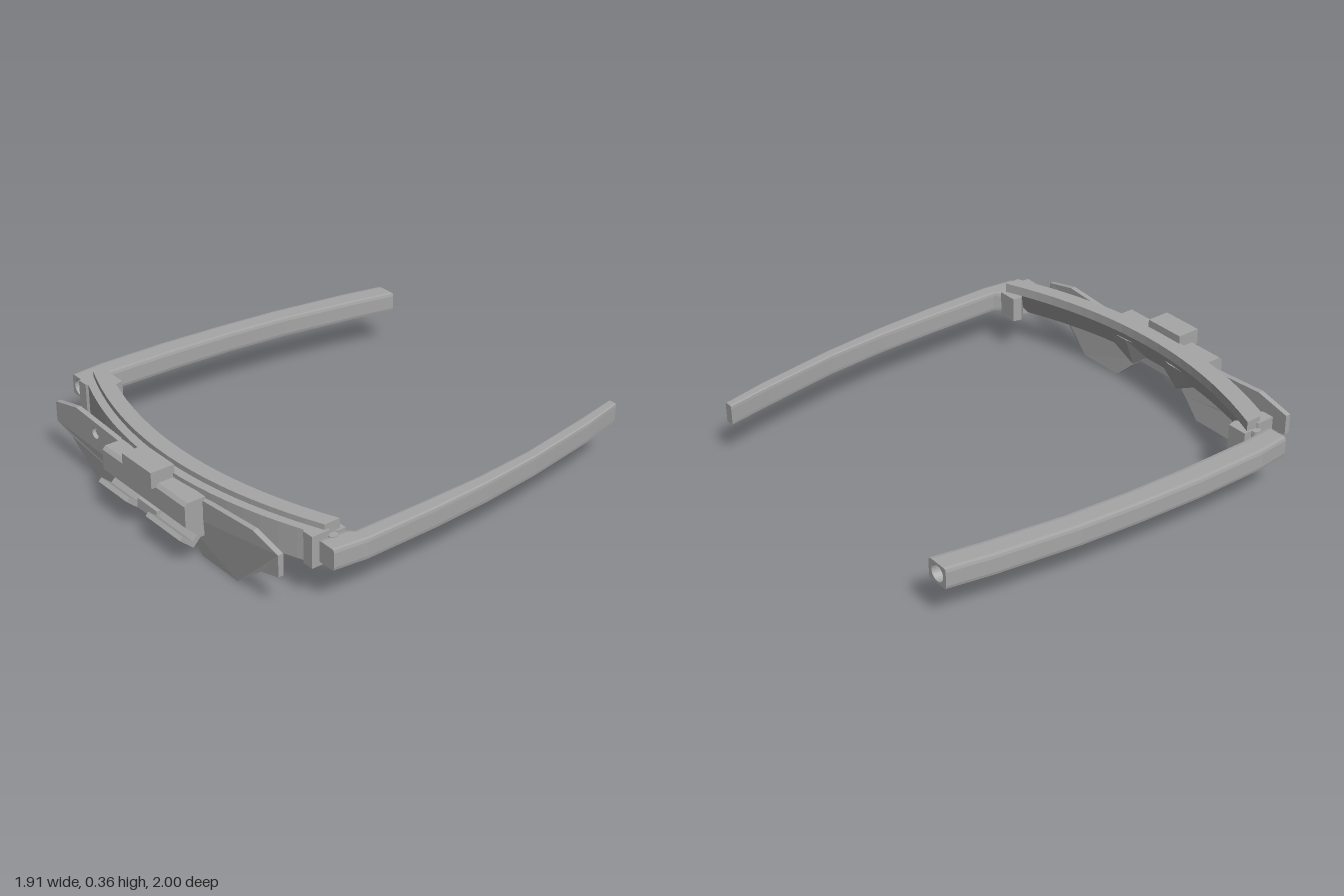
import * as THREE from 'three';

const grey = new THREE.MeshStandardMaterial({ color: 0xa6a6a6 });
grey.name = 'grey plastic';
grey.flatShading = true;
const CX = 0.01; // middle of the front frame

// Skin a list of equal-length rings; ends are capped, or joined when closed
function loft(rings, closed = false) {
  const pos = [], n = rings[0].length;
  const tri = (a, b, c) => pos.push(...a, ...b, ...c);
  const last = closed ? rings.length : rings.length - 1;
  for (let i = 0; i < last; i++) {
    const A = rings[i], B = rings[(i + 1) % rings.length];
    for (let j = 0; j < n; j++) {
      const k = (j + 1) % n;
      tri(A[j], A[k], B[k]);
      tri(A[j], B[k], B[j]);
    }
  }
  // Orient the skin outward by its signed volume
  const cap = (ring, flip, ax) => {
    const pts = ring.map(p => new THREE.Vector2(p[ax], p[1]));
    for (const [a, b, c] of THREE.ShapeUtils.triangulateShape(pts, [])) {
      if (flip) tri(ring[a], ring[c], ring[b]);
      else tri(ring[a], ring[b], ring[c]);
    }
  };
  if (!closed) {
    const d = rings[1][0].map((v, i) => Math.abs(v - rings[0][0][i]));
    const ax = d[0] > d[2] ? 2 : 0;
    // triangulation keeps the ring's own winding
    cap(rings[0], true, ax);
    cap(rings[rings.length - 1], false, ax);
  }
  let vol = 0;
  const v = i => new THREE.Vector3(pos[i], pos[i + 1], pos[i + 2]);
  for (let i = 0; i < pos.length; i += 9) vol += v(i).dot(v(i + 3).cross(v(i + 6)));
  if (vol < 0) {
    for (let i = 0; i < pos.length; i += 9) {
      for (let k = 0; k < 3; k++) {
        [pos[i + 3 + k], pos[i + 6 + k]] = [pos[i + 6 + k], pos[i + 3 + k]];
      }
    }
  }
  const g = new THREE.BufferGeometry();
  g.setAttribute('position', new THREE.Float32BufferAttribute(pos, 3));
  g.computeVertexNormals();
  return g;
}

const toShape = pts => new THREE.Shape(pts.map(p => new THREE.Vector2(...p)));

// Side profile of [z, y] points, stretched from x0 to x1
function prismX(pts, x0, x1) {
  const g = new THREE.ExtrudeGeometry(toShape(pts), { depth: x1 - x0, bevelEnabled: false });
  return g.rotateY(-Math.PI / 2).translate(x1, 0, 0);
}

// Plan outline of [x, z] points, raised from y0 to y1
function prismY(pts, y0, y1) {
  const g = new THREE.ExtrudeGeometry(toShape(pts.map(([x, z]) => [x, -z])), { depth: y1 - y0, bevelEnabled: false });
  return g.rotateX(-Math.PI / 2).translate(0, y0, 0);
}

// Temple arm from stations [z, outer x, inner x]; bore adds a round channel
function temple(stations, bore) {
  const N = 24, y = 0.243, clamp = t => Math.max(-1, Math.min(1, t * 1.34));
  const ring = ([z, xo, xi], r) => Array.from({ length: N }, (_, i) => {
    const a = (i / N) * Math.PI * 2, c = Math.cos(a), s = Math.sin(a), x = (xo + xi) / 2;
    return r ? [x + r * c, y + r * s, z]
      : [x + clamp(c) * Math.abs(xo - xi) / 2, y + clamp(s) * 0.048, z];
  });
  const outer = stations.map(s => ring(s));
  if (!bore) return loft(outer);
  return loft([...outer, ...stations.map(s => ring(s, bore)).reverse()], true);
}

export function createModel() {
  const model = new THREE.Group();
  const add = (name, geo) => {
    const m = new THREE.Mesh(geo, grey);
    m.name = name;
    model.add(m);
    return m;
  };

  // Curved brow bar: stepped top, inner face leaning forward to the lower edge
  const section = [[0, 0.32], [0.04, 0.32], [0.04, 0.345], [0.115, 0.345], [0.115, 0.3], [0.045, 0.18], [0, 0.18]];
  const rings = [];
  for (let i = 0; i <= 20; i++) {
    const u = -0.825 + (1.65 * i) / 20;
    rings.push(section.map(([t, y]) => [u + CX, y, 0.885 - 0.25 * u * u - t]));
  }
  add('browBar', loft(rings));

  // Faceted shield plate with a small screw hole
  const shield = toShape([
    [-0.8, 0.27], [-0.8, 0.175], [-0.68, 0.145], [-0.5, 0], [-0.27, 0], [-0.18, 0.085], [-0.1, 0.15],
    [0.11, 0.15], [0.19, 0.085], [0.28, 0], [0.52, 0], [0.7, 0.145], [0.81, 0.175],
    [0.81, 0.275], [0.65, 0.31], [0.32, 0.285], [-0.29, 0.29], [-0.63, 0.31],
  ]);
  const hole = new THREE.Path();
  hole.absarc(-0.48, 0.247, 0.026, 0, Math.PI * 2, true);
  shield.holes.push(hole);
  const plate = new THREE.ExtrudeGeometry(shield, { depth: 0.025, bevelEnabled: false, curveSegments: 8 });
  const p = plate.attributes.position;
  for (let i = 0; i < p.count; i++) {
    p.setZ(i, p.getZ(i) + 0.858 - Math.max(0, 0.15 - p.getY(i)) * 0.1);
  }
  plate.computeVertexNormals();
  add('shieldPlate', plate);
  const screw = add('screw', new THREE.CylinderGeometry(0.016, 0.016, 0.05, 10));
  screw.rotation.x = Math.PI / 2;
  screw.position.set(-0.48, 0.247, 0.845);

  // Front housing with its top catch
  add('housing', prismX([[0.87, 0.3], [0.955, 0.3], [0.97, 0.285], [0.97, 0.19], [0.9, 0.12], [0.87, 0.12]], -0.285, 0.315));
  const block = add('topCatch', new THREE.BoxGeometry(0.21, 0.075, 0.115));
  block.position.set(0.005, 0.32, 0.933);

  // V-shaped lower hook, cut short in the middle
  const hook = [[0.895, 0.125], [0.935, 0.083], [1.0, 0.14], [0.985, 0.155], [0.937, 0.113], [0.91, 0.14]];
  add('rightHook', prismX(hook, -0.285, -0.07));
  add('leftHook', prismX(hook, 0.07, 0.315));
  add('hookTab', prismX([[0.895, 0.125], [0.935, 0.083], [0.95, 0.098], [0.945, 0.14], [0.91, 0.14]], -0.07, 0.07));

  for (const s of [-1, 1]) {
    const side = s < 0 ? 'right' : 'left';
    const X = x => CX + s * x;
    const plan = pts => pts.map(([x, z]) => [X(x), z]);
    // Hinge blocks joining bar and arm
    add(side + 'HingeInner', prismY(plan([[0.835, 0.578], [0.74, 0.578], [0.73, 0.62], [0.78, 0.67], [0.835, 0.62]]), 0.18, 0.3));
    add(side + 'HingeOuter', prismY(plan([[0.835, 0.66], [0.8, 0.64], [0.75, 0.72], [0.78, 0.745], [0.835, 0.745]]), 0.175, 0.32));
    add(side + 'HingePin', new THREE.CylinderGeometry(0.022, 0.022, 0.11, 12)).position.set(X(0.835), 0.24, 0.645);
    // Nose wedge under the bar
    add(side + 'NoseWedge', loft([
      [[X(0.06), 0.26, 0.8], [X(0.06), 0.26, 0.86], [X(0.06), 0.19, 0.86], [X(0.06), 0.19, 0.83]],
      [[X(0.15), 0.26, 0.78], [X(0.15), 0.26, 0.86], [X(0.15), 0.115, 0.86], [X(0.15), 0.115, 0.83]],
      [[X(0.27), 0.26, 0.78], [X(0.27), 0.26, 0.86], [X(0.27), 0.18, 0.86], [X(0.27), 0.18, 0.82]],
    ]));
  }

  // Temple arms: bored thick arm on the right, slim solid arm on the left
  add('rightTemple', temple([
    [0.705, -0.945, -0.84], [0.55, -0.96, -0.85], [0.2, -0.955, -0.845], [-0.1, -0.935, -0.83],
    [-0.4, -0.905, -0.8], [-0.78, -0.845, -0.735], [-0.99, -0.8, -0.69],
  ], 0.038));
  add('leftTemple', temple([
    [0.71, 0.935, 0.84], [0.58, 0.95, 0.85], [0.555, 0.953, 0.873], [0.2, 0.95, 0.875], [-0.1, 0.935, 0.872],
    [-0.4, 0.905, 0.85], [-0.78, 0.845, 0.79], [-1, 0.795, 0.75],
  ]));
  return model;
}
